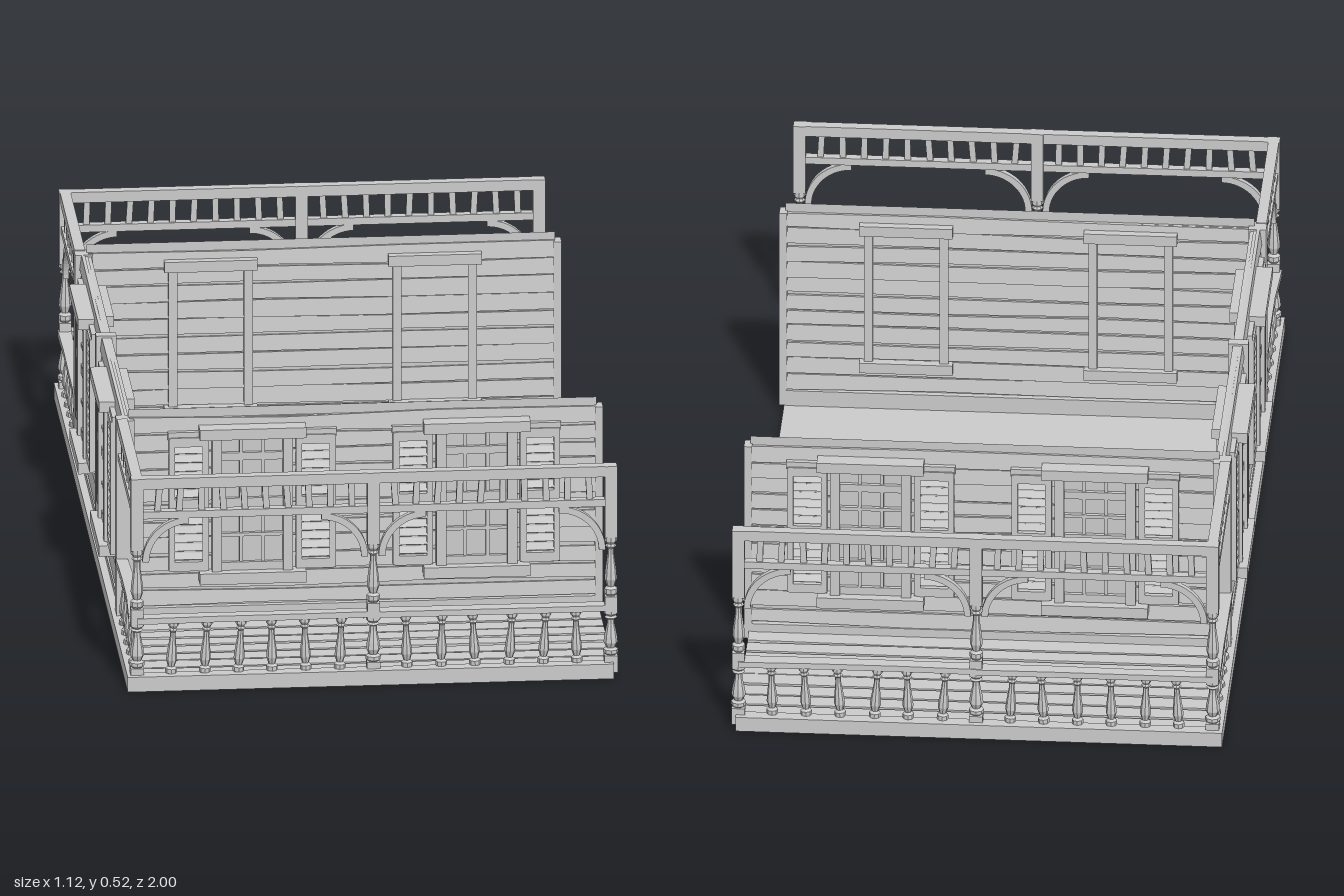
import * as THREE from 'three';

const mat = new THREE.MeshStandardMaterial({ color: 0xcccccc, flatShading: true });
const thinMat = new THREE.MeshStandardMaterial({ color: 0xcccccc, flatShading: true, side: THREE.DoubleSide });

let seed = 7;
const rand = (a) => {
  seed = (seed * 16807) % 2147483647;
  return (seed / 2147483647 - 0.5) * 2 * a;
};

function group(parent, name, x = 0, y = 0, z = 0, ry = 0) {
  const g = new THREE.Group();
  g.name = name;
  g.position.set(x, y, z);
  g.rotation.y = ry;
  parent.add(g);
  return g;
}

function add(parent, name, geo, x = 0, y = 0, z = 0, material = mat) {
  const m = new THREE.Mesh(geo, material);
  m.name = name;
  m.position.set(x, y, z);
  parent.add(m);
  return m;
}

// Box given by its minimum and maximum on each axis
function box(parent, name, x0, x1, y0, y1, z0, z1) {
  return add(parent, name, new THREE.BoxGeometry(x1 - x0, y1 - y0, z1 - z0),
    (x0 + x1) / 2, (y0 + y1) / 2, (z0 + z1) / 2);
}

// Board along x whose long edges wander a little on one cross axis ('y' or 'z')
function plank(parent, name, len, h, d, x, y, z, axis) {
  const geo = new THREE.BoxGeometry(len, h, d, 3, 1, 1);
  const p = geo.attributes.position;
  const half = (axis === 'y' ? h : d) / 2;
  const edge = { '-1': [0, 0, 0, 0].map(() => rand(0.004)), 1: [0, 0, 0, 0].map(() => rand(0.004)) };
  for (let i = 0; i < p.count; i++) {
    const v = axis === 'y' ? p.getY(i) : p.getZ(i);
    const side = Math.sign(v);
    const n = side * half + edge[side][Math.round((p.getX(i) / len + 0.5) * 3)];
    axis === 'y' ? p.setY(i, n) : p.setZ(i, n);
  }
  geo.computeVertexNormals();
  return add(parent, name, geo, x, y, z);
}

// Turned spindle between two heights
const PROFILE = [[0.7, 0], [1, 0.04], [1, 0.12], [0.6, 0.16], [0.95, 0.28], [0.85, 0.42],
  [0.5, 0.7], [0.5, 0.8], [0.85, 0.84], [0.6, 0.88], [0.95, 0.93], [0.95, 1]];
function spindle(parent, name, r, x, y0, y1) {
  const pts = PROFILE.map(([a, t]) => new THREE.Vector2(a * r, t * (y1 - y0)));
  return add(parent, name, new THREE.LatheGeometry(pts, 8), x, y0, 0, thinMat);
}

// Porch post: turned below, square above
function post(parent, x, z) {
  const g = group(parent, 'porchPost', x, 0, z);
  box(g, 'postFoot', -0.015, 0.015, 0.01, 0.05, -0.015, 0.015);
  spindle(g, 'lowerTurning', 0.017, 0, 0.05, 0.155);
  box(g, 'postBlock', -0.014, 0.014, 0.15, 0.19, -0.014, 0.014);
  spindle(g, 'upperTurning', 0.015, 0, 0.19, 0.33);
  box(g, 'postTop', -0.014, 0.014, 0.33, 0.5, -0.014, 0.014);
}

// Curved corner bracket, dir = +1 grows to +x
function bracket(parent, x, dir) {
  const s = new THREE.Shape();
  s.absarc(0.105, 0.3, 0.105, Math.PI, Math.PI / 2, true);
  s.absarc(0.105, 0.3, 0.09, Math.PI / 2, Math.PI, false);
  s.closePath();
  const geo = new THREE.ExtrudeGeometry(s, { depth: 0.014, bevelEnabled: false, curveSegments: 7 });
  geo.translate(0, 0, -0.007);
  const m = add(parent, 'bracket', geo, x + dir * 0.012);
  if (dir < 0) m.rotation.y = Math.PI;
}

// One porch bay of length L running to +x: handrail, balusters, frieze, brackets
function bay(parent, L, x, z, ry, spindles, endBracket) {
  const g = group(parent, 'porchBay', x, 0, z, ry);
  plank(g, 'handrail', L, 0.014, 0.03, L / 2, 0.163, 0, 'z');
  for (let i = 1; i <= spindles; i++) {
    const b = spindle(g, 'baluster', 0.013, L * i / (spindles + 1), 0.03, 0.157);
    b.rotation.z = rand(0.06);
  }
  box(g, 'topBeam', 0, L, 0.475, 0.5, -0.012, 0.012);
  box(g, 'friezeRail', 0, L, 0.404, 0.421, -0.01, 0.01);
  const n = Math.round(L / 0.049);
  for (let i = 1; i < n; i++) {
    const m = box(g, 'friezePicket', -0.007, 0.007, 0.418, 0.478, -0.006, 0.006);
    m.position.x = L * i / n;
    m.rotation.z = rand(0.08);
  }
  bracket(g, 0, 1);
  if (endBracket) bracket(g, L, -1);
}

// Louvred shutter, 0.09 wide
function shutter(parent, x) {
  const g = group(parent, 'shutter', x);
  box(g, 'shutterBack', -0.04, 0.04, 0.15, 0.45, 0.014, 0.018);
  for (const s of [-1, 1]) box(g, 'shutterStile', s * 0.038 - 0.007, s * 0.038 + 0.007, 0.14, 0.455, 0.014, 0.03);
  for (const y of [0.15, 0.298, 0.445]) box(g, 'shutterRail', -0.04, 0.04, y - 0.011, y + 0.011, 0.014, 0.03);
  for (const y0 of [0.172, 0.32])
    for (let i = 0; i < 6; i++) {
      const m = add(g, 'louvre', new THREE.BoxGeometry(0.064, 0.016, 0.004), 0, y0 + i * 0.0208, 0.022);
      m.rotation.x = -0.5 + rand(0.08);
    }
}

// Window with paned sashes, shutters and inner casing
function windowUnit(parent, x) {
  const g = group(parent, 'window', x);
  box(g, 'panes', -0.085, 0.085, 0.13, 0.46, 0.008, 0.019);
  for (const s of [-1, 1]) {
    box(g, 'jamb', s * 0.08 - 0.011, s * 0.08 + 0.011, 0.12, 0.465, 0.01, 0.036);
    box(g, 'innerJamb', s * 0.085 - 0.01, s * 0.085 + 0.01, 0.115, 0.47, -0.022, -0.01);
    box(g, 'verticalBar', s * 0.025 - 0.004, s * 0.025 + 0.004, 0.14, 0.455, 0.015, 0.026);
    shutter(g, s * 0.143);
  }
  for (const [y, h] of [[0.145, 0.012], [0.222, 0.004], [0.298, 0.011], [0.355, 0.004], [0.408, 0.009]])
    box(g, 'sashRail', -0.075, 0.075, y - h, y + h, 0.015, 0.028);
  box(g, 'windowHead', -0.12, 0.12, 0.455, 0.48, 0.012, 0.05);
  box(g, 'windowSill', -0.12, 0.12, 0.112, 0.138, 0.012, 0.05);
  box(g, 'shutterHead', -0.19, 0.19, 0.45, 0.468, 0.012, 0.026);
  box(g, 'innerHead', -0.105, 0.105, 0.455, 0.48, -0.032, -0.01);
  box(g, 'innerSill', -0.105, 0.105, 0.108, 0.133, -0.032, -0.01);
}

// Sided wall along x, outside facing +z
function wall(parent, name, L, windows, x, z, ry) {
  const g = group(parent, name, x, 0, z, ry);
  box(g, 'wallCore', -L / 2, L / 2, 0.005, 0.495, -0.004, 0.004);
  const n = 11, pitch = 0.45 / n;
  for (const s of [-1, 1]) {
    for (let i = 0; i < n; i++) {
      const m = plank(g, 'sidingBoard', L, pitch - 0.006, 0.008, 0, 0.05 + (i + 0.5) * pitch, s * 0.009, 'y');
      m.rotation.x = -s * 0.12;
    }
    box(g, 'baseboard', -L / 2, L / 2, 0.008, 0.05, s > 0 ? 0.003 : -0.018, s > 0 ? 0.018 : -0.003);
  }
  windows.forEach((w) => windowUnit(g, w));
  return g;
}

export function createModel() {
  const model = new THREE.Group();
  model.name = 'porchHouseStorey';

  // Floor slab and edge boards
  box(model, 'floor', -0.545, 0.545, 0, 0.012, -0.99, 0.99);
  box(model, 'leftEdgeBoard', -0.55, -0.53, 0, 0.035, -0.99, 0.99);

  // Long wall with a middle post
  const side = wall(model, 'sideWall', 1.11, [-0.28, 0.28], -0.515, 0, -Math.PI / 2);
  box(side, 'middlePost', -0.012, 0.012, 0.02, 0.5, -0.022, 0.024);

  for (const s of [-1, 1]) {
    // End wall with its windows, top board and corner posts
    const end = wall(model, s > 0 ? 'frontWall' : 'backWall', 1.05, [-0.25 * s, 0.255 * s].map((v) => v),
      0.015, s * 0.56, s > 0 ? 0 : Math.PI);
    add(end, 'topBoard', new THREE.PlaneGeometry(1.055, 0.03), 0, 0.502, 0, thinMat);
    box(model, 'wallEndPost', 0.538, 0.556, 0.012, 0.498, s * 0.56 - 0.016, s * 0.56 + 0.016);
    box(model, 'cornerPost', -0.54, -0.5, 0.012, 0.498, s * 0.562 - 0.02, s * 0.562 + 0.02);

    // Porch deck
    const deck = group(model, 'porchDeck');
    for (let i = 0; i < 8; i++)
      plank(deck, 'deckBoard', 1.06, 0.016, 0.043, 0.015, 0.022, s * (0.6 + i * 0.0505), 'z');
    box(deck, 'porchEdgeBoard', -0.55, 0.545, 0, 0.035, s * 0.985 - 0.015, s * 0.985 + 0.015);

    // Porch posts and railings
    for (const x of [-0.527, 0.005, 0.54]) post(model, x, s * 0.972);
    bay(model, 0.532, -0.527, s * 0.972, 0, 6, true);
    bay(model, 0.535, 0.005, s * 0.972, 0, 6, true);
    bay(model, 0.4, -0.527, s * 0.972, s * Math.PI / 2, 5, false);
  }
  return model;
}
